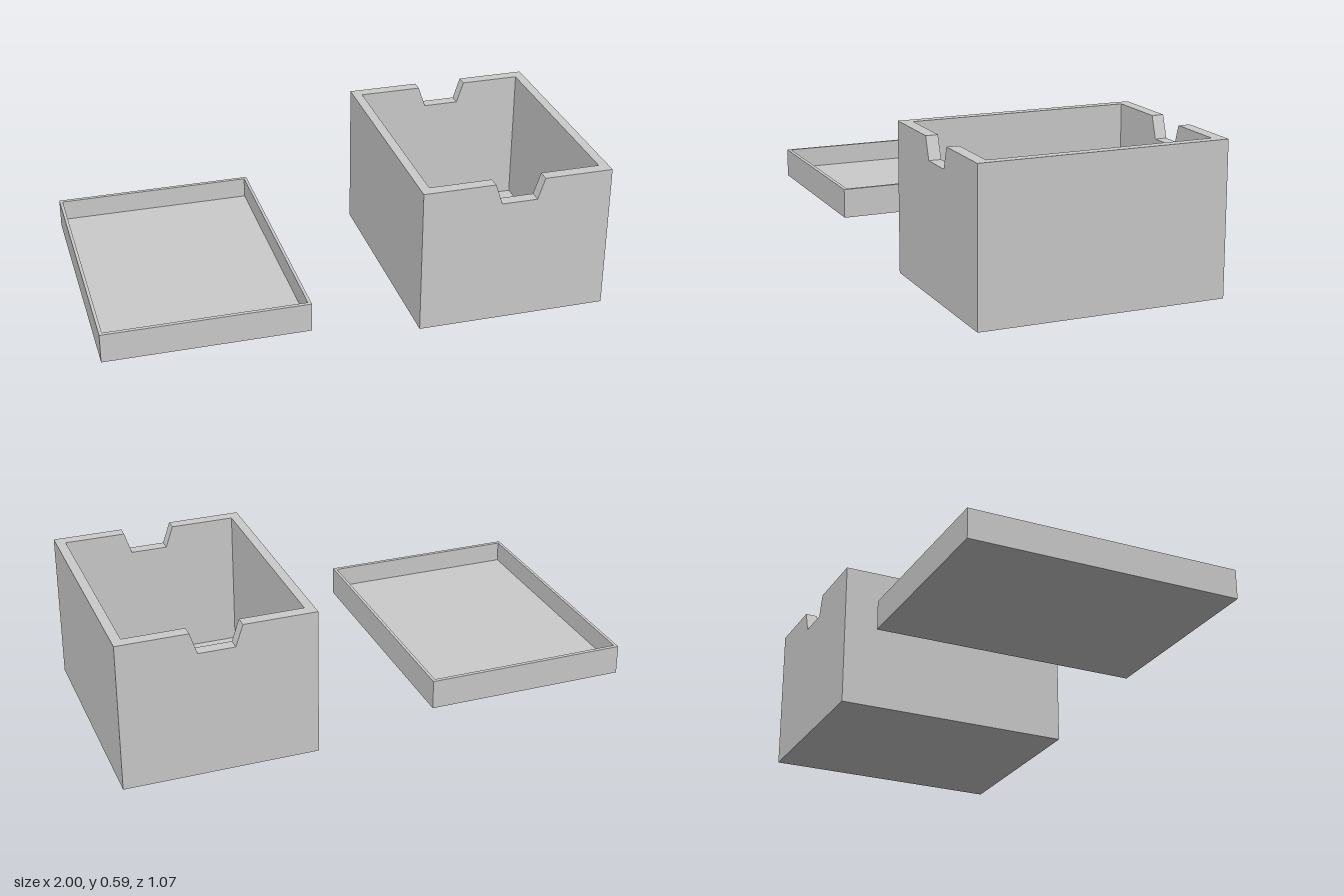
import * as THREE from 'three';

const material = new THREE.MeshStandardMaterial({ color: 0xcccccc, flatShading: true });

function add(parent, name, geometry) {
  const mesh = new THREE.Mesh(geometry, material);
  mesh.name = name;
  parent.add(mesh);
  return mesh;
}

// Box spanning two opposite corners
function block(parent, name, [x0, y0, z0], [x1, y1, z1]) {
  const mesh = add(parent, name, new THREE.BoxGeometry(x1 - x0, y1 - y0, z1 - z0));
  mesh.position.set((x0 + x1) / 2, (y0 + y1) / 2, (z0 + z1) / 2);
}

// Wall panel between z0 and z1, its top edge optionally cut by a tapered notch
function endWall(parent, name, b, z0, z1) {
  const points = [[b.x0, b.y0], [b.x1, b.y0], [b.x1, b.y1], ...(b.notch || []), [b.x0, b.y1]];
  const shape = new THREE.Shape(points.map(([x, y]) => new THREE.Vector2(x, y)));
  const geometry = new THREE.ExtrudeGeometry(shape, { depth: z1 - z0, bevelEnabled: false });
  add(parent, name, geometry).position.z = z0;
}

// Open-topped container: floor, two side walls and two end walls
function openBox(name, b) {
  const group = new THREE.Group();
  group.name = name;
  const { x0, x1, y0, y1, z0, z1, wallX, wallZ, floor } = b;
  const zi0 = z0 + wallZ, zi1 = z1 - wallZ;
  block(group, 'floor', [x0 + wallX, y0, zi0], [x1 - wallX, y0 + floor, zi1]);
  block(group, 'rightWall', [x0, y0, zi0], [x0 + wallX, y1, zi1]);
  block(group, 'leftWall', [x1 - wallX, y0, zi0], [x1, y1, zi1]);
  endWall(group, 'frontWall', b, zi1, z1);
  endWall(group, 'backWall', b, z0, zi0);
  return group;
}

export function createModel() {
  const model = new THREE.Group();
  model.name = 'boxWithLid';

  // Deep box with a finger notch in the front and back walls
  model.add(openBox('box', {
    x0: 0.242, x1: 1, y0: 0, y1: 0.588, z0: -0.495, z1: 0.466,
    wallX: 0.037, wallZ: 0.047, floor: 0.04,
    notch: [[0.727, 0.588], [0.699, 0.503], [0.557, 0.503], [0.528, 0.588]],
  }));

  // Shallow lid lying upside down beside the box
  model.add(openBox('lid', {
    x0: -1, x1: -0.207, y0: 0.112, y1: 0.228, z0: -0.533, z1: 0.533,
    wallX: 0.012, wallZ: 0.015, floor: 0.034,
  }));

  return model;
}
